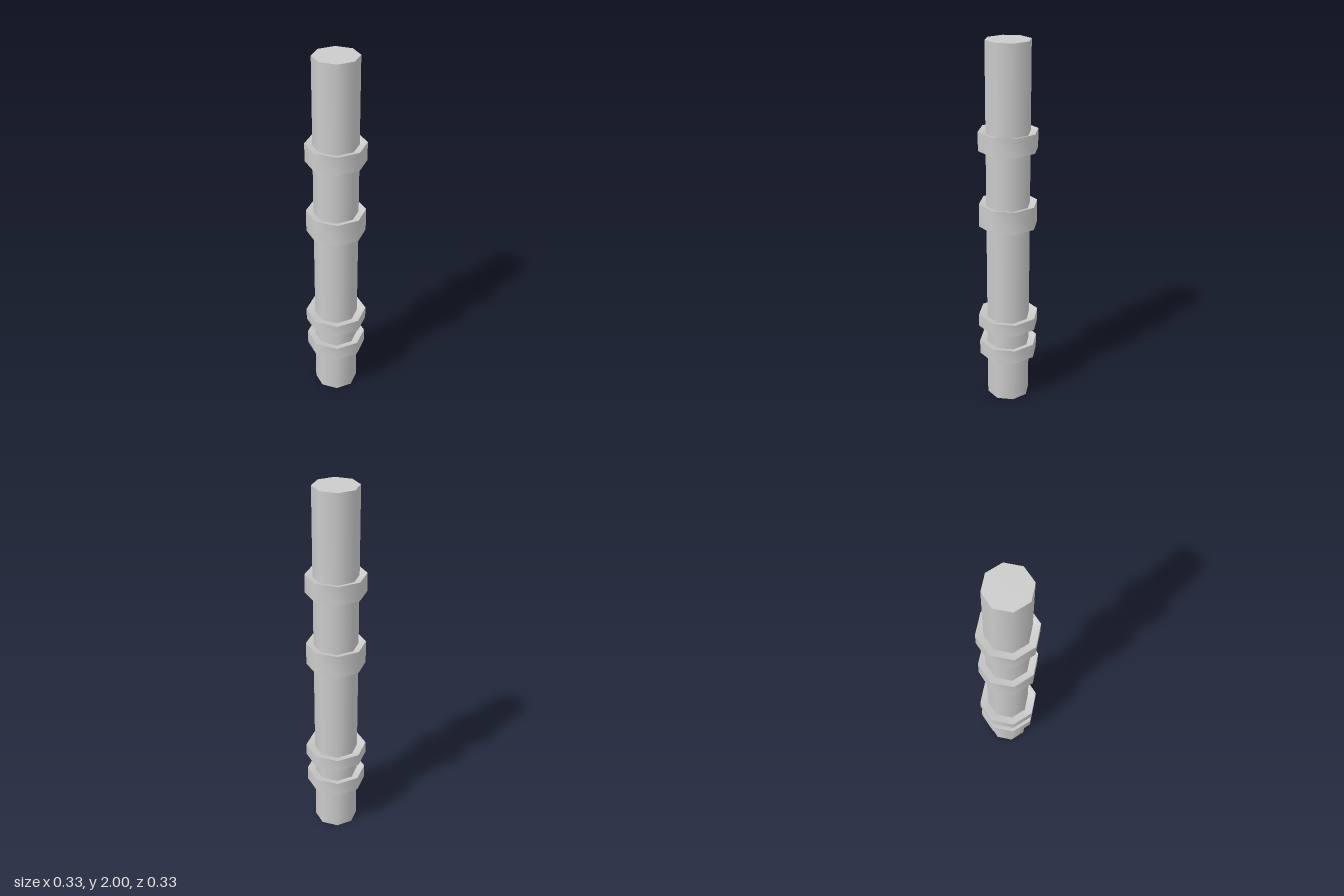
import * as THREE from 'three';
import { toCreasedNormals } from 'three/addons/utils/BufferGeometryUtils.js';

const SIDES = 8;
const SHAFT_RADIUS = 0.118;

export function createModel() {
  const group = new THREE.Group();
  group.name = 'ringedPole';
  const material = new THREE.MeshStandardMaterial({ color: 0xcccccc });

  // Straight eight-sided shaft
  const shaft = new THREE.Mesh(new THREE.CylinderGeometry(SHAFT_RADIUS, SHAFT_RADIUS, 2, SIDES), material);
  shaft.name = 'shaft';
  shaft.position.y = 1;
  group.add(shaft);

  // Collars: straight outer wall, end faces dished slightly towards the shaft
  const addCollar = (name, bottom, top, radius) => {
    const inner = SHAFT_RADIUS - 0.005;
    const dish = (radius - inner) * 0.28;
    const profile = [
      new THREE.Vector2(inner, bottom + dish),
      new THREE.Vector2(radius, bottom),
      new THREE.Vector2(radius, top),
      new THREE.Vector2(inner, top - dish),
    ];
    const geometry = toCreasedNormals(new THREE.LatheGeometry(profile, SIDES), THREE.MathUtils.degToRad(50));
    const collar = new THREE.Mesh(geometry, material);
    collar.name = name;
    group.add(collar);
  };

  addCollar('bottomCollar', 0.26, 0.34, 0.161);
  addCollar('lowerCollar', 0.435, 0.503, 0.166);
  addCollar('middleCollar', 1.03, 1.155, 0.157);
  addCollar('upperCollar', 1.445, 1.545, 0.158);

  return group;
}
